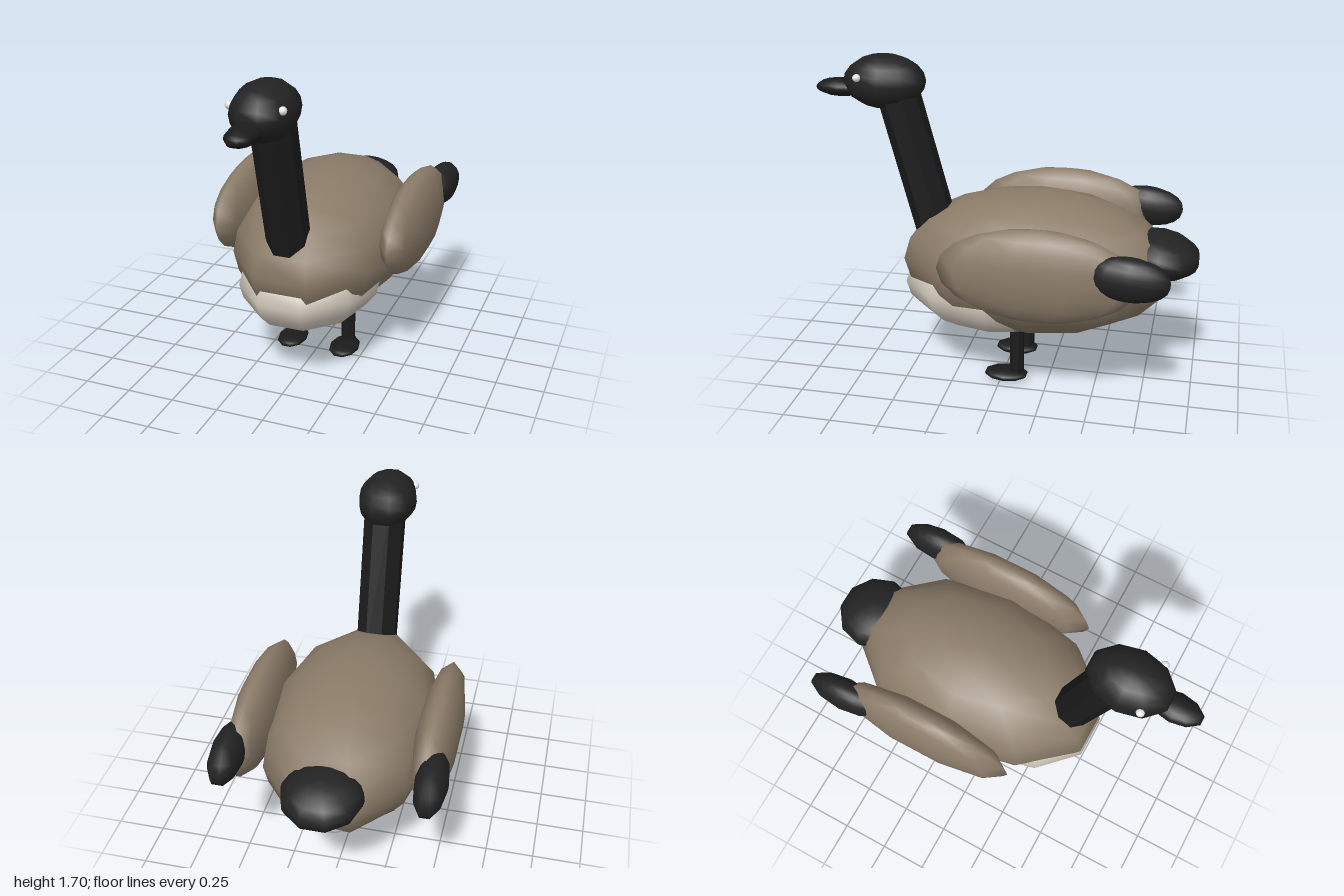
import * as THREE from 'three';

const mat = (name, color) => {
  const m = new THREE.MeshStandardMaterial({ color });
  m.name = name;
  return m;
};

export function createModel() {
  const goose = new THREE.Group();
  goose.name = 'waterBird';

  const brown = mat('brown plumage', 0x8b7b68);
  const cream = mat('cream breast', 0xd2c9bc);
  const white = mat('white feathers', 0xf0f0f0);
  const black = mat('black plumage', 0x222222);
  const dark = mat('dark skin', 0x1b1b1b);

  // Ten-sided smooth ball; "turned" puts a corner rather than a side at the z ends
  const ball = new THREE.SphereGeometry(1, 10, 10);
  const turnedBall = ball.clone().rotateY(Math.PI / 2);
  const flat = Math.cos(Math.PI / 10);

  // Ellipsoid given by its centre and its half extents
  function egg(name, material, [x, y, z], [rx, ry, rz], tilt = 0, turned = false) {
    const mesh = new THREE.Mesh(turned ? turnedBall : ball, material);
    mesh.name = name;
    mesh.position.set(x, y, z);
    mesh.scale.set(turned ? rx / flat : rx, ry, turned ? rz : rz / flat);
    mesh.rotation.x = tilt;
    goose.add(mesh);
    return mesh;
  }

  // Eight-sided faceted post
  function post(name, material, radius, height, [x, y, z], tilt = 0) {
    const geo = new THREE.CylinderGeometry(radius, radius, height, 8)
      .rotateY(Math.PI / 8).toNonIndexed();
    geo.computeVertexNormals();
    const mesh = new THREE.Mesh(geo, material);
    mesh.name = name;
    mesh.position.set(x, y, z);
    mesh.rotation.x = tilt;
    goose.add(mesh);
    return mesh;
  }

  // Body, with pale patches swelling slightly through its surface
  egg('body', brown, [0, 0.645, -0.16], [0.45, 0.375, 0.685]);
  egg('breast', cream, [0, 0.5, 0.05], [0.368, 0.25, 0.476]);
  egg('rumpPatch', white, [0, 0.55, -0.64], [0.2, 0.14, 0.172]);
  egg('tail', black, [0, 0.73, -0.8], [0.205, 0.118, 0.2], -0.12);

  // Neck and head
  post('neck', dark, 0.111, 0.85, [0, 1.15, 0.476], 0.257);
  egg('head', black, [0, 1.56, 0.637], [0.155, 0.14, 0.205]);
  egg('beak', dark, [0, 1.518, 0.87], [0.075, 0.047, 0.13]);

  // Paired parts
  for (const [side, s] of [['left', 1], ['right', -1]]) {
    egg(side + 'Eye', white, [s * 0.127, 1.6, 0.742], [0.02, 0.02, 0.02]);
    egg(side + 'Wing', brown, [s * 0.462, 0.757, -0.24], [0.105, 0.243, 0.5], 0, true);
    egg(side + 'WingTip', black, [s * 0.497, 0.8, -0.687], [0.081, 0.112, 0.197], -0.08);
    post(side + 'Leg', dark, 0.038, 0.32, [s * 0.152, 0.19, -0.085]);
    egg(side + 'Foot', dark, [s * 0.152, 0.03, -0.027], [0.08, 0.03, 0.112]);
  }

  return goose;
}
